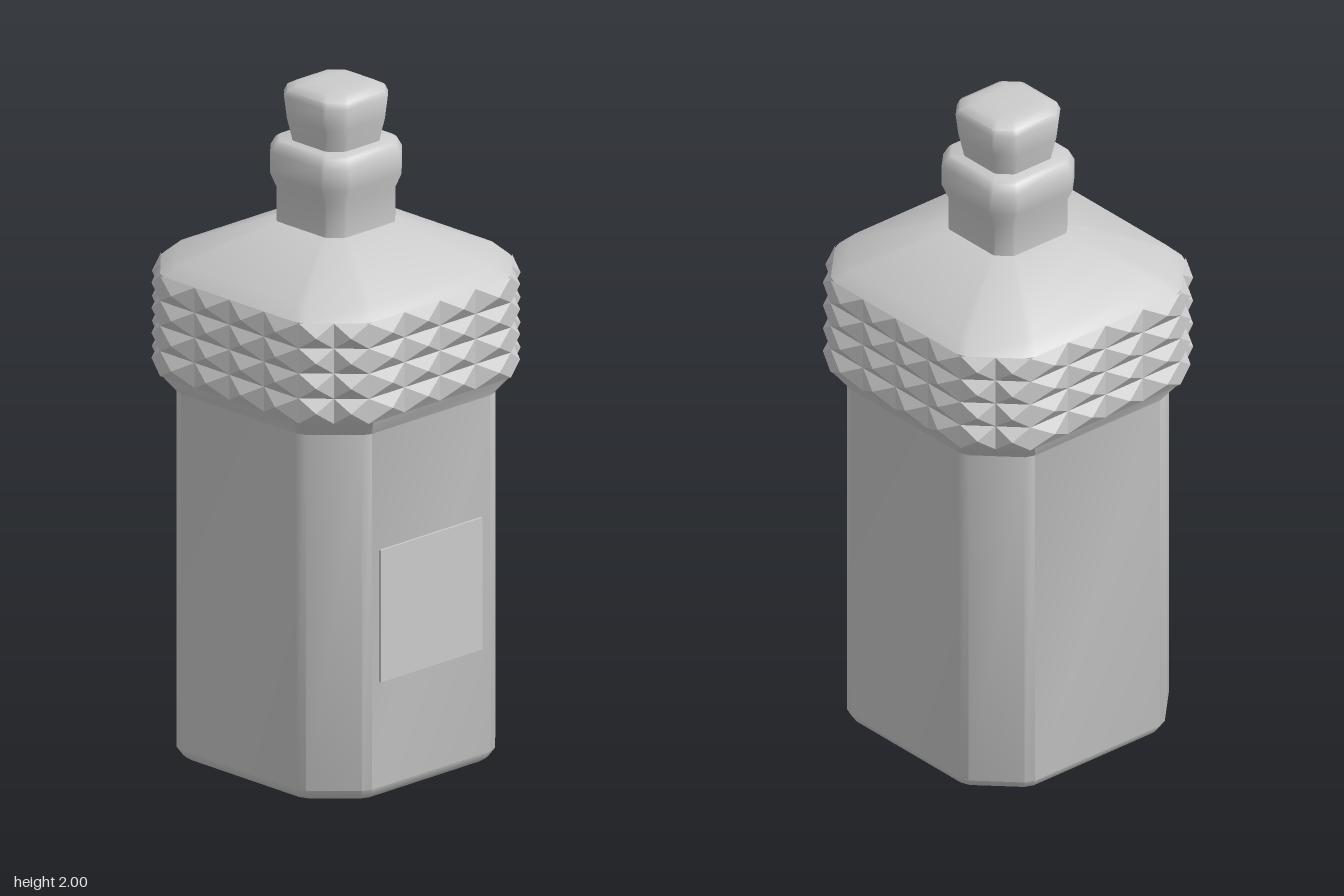
import * as THREE from 'three';
import { toCreasedNormals } from 'three/addons/utils/BufferGeometryUtils.js';

const material = new THREE.MeshStandardMaterial({ color: 0xcccccc });

// Square outline with cut corners, counted from +x towards +z.
function octagon(half, cut) {
  const f = half - cut, pts = [];
  let p = [[half, -f], [half, f]];
  for (let k = 0; k < 4; k++) {
    pts.push(...p);
    p = p.map(([x, z]) => [-z, x]);
  }
  return pts;
}

// The same outline with every corner slightly bevelled.
function softOctagon(half, cut) {
  const pts = octagon(half, cut), bevel = cut * 0.12, out = [];
  pts.forEach((p, i) => {
    for (const q of [pts[(i + 7) % 8], pts[(i + 1) % 8]]) {
      const d = Math.hypot(q[0] - p[0], q[1] - p[1]);
      out.push([p[0] + (q[0] - p[0]) * bevel / d, p[1] + (q[1] - p[1]) * bevel / d]);
    }
  });
  return out;
}

function triangles(pos) {
  const g = new THREE.BufferGeometry();
  g.setAttribute('position', new THREE.Float32BufferAttribute(pos, 3));
  return g;
}

// Closed skin over rows of [y, half width, corner cut].
function loft(name, rows, crease = 0.7) {
  const rings = rows.map(([y, h, c]) => softOctagon(h, c).map(([x, z]) => [x, y, z]));
  const pos = [], n = rings[0].length;
  const tri = (a, b, c) => pos.push(...a, ...b, ...c);
  for (let r = 0; r < rings.length - 1; r++) {
    for (let i = 0; i < n; i++) {
      const j = (i + 1) % n, lo = rings[r], hi = rings[r + 1];
      tri(lo[i], hi[i], lo[j]);
      tri(lo[j], hi[i], hi[j]);
    }
  }
  const top = rings[rings.length - 1], bottom = rings[0];
  for (let i = 0; i < n; i++) {
    const j = (i + 1) % n;
    tri([0, top[0][1], 0], top[j], top[i]);
    tri([0, bottom[0][1], 0], bottom[i], bottom[j]);
  }
  const mesh = new THREE.Mesh(toCreasedNormals(triangles(pos), crease), material);
  mesh.name = name;
  return mesh;
}

// Belt of pyramids: four per wide side and two per cut corner, in four rows.
function studBelt(half, cut, y0, y1, rows, height) {
  const pts = octagon(half, cut), pos = [], step = (y1 - y0) / rows;
  pts.forEach((p, s) => {
    const q = pts[(s + 1) % 8], count = s % 2 ? 2 : 4;
    const len = Math.hypot(q[0] - p[0], q[1] - p[1]);
    const nx = (q[1] - p[1]) / len, nz = -(q[0] - p[0]) / len;
    const at = (t, y, out = 0) => [
      p[0] + (q[0] - p[0]) * t + nx * out, y, p[1] + (q[1] - p[1]) * t + nz * out];
    for (let r = 0; r < rows; r++) {
      for (let i = 0; i < count; i++) {
        const a = i / count, b = (i + 1) / count, y = y0 + r * step;
        const tip = at((a + b) / 2, y + step / 2, height);
        const base = [at(a, y), at(a, y + step), at(b, y + step), at(b, y)];
        base.forEach((v, k) => pos.push(...v, ...base[(k + 1) % 4], ...tip));
      }
    }
  });
  const g = triangles(pos);
  g.computeVertexNormals();
  const mesh = new THREE.Mesh(g, material);
  mesh.name = 'studBelt';
  return mesh;
}

export function createModel() {
  const bottle = new THREE.Group();
  bottle.name = 'bottle';

  // Body with foot bevel, belt core and sloping shoulder
  bottle.add(loft('body', [
    [0, 0.355, 0.125], [0.01, 0.37, 0.13], [0.035, 0.385, 0.135],
    [1.1, 0.385, 0.135], [1.15, 0.42, 0.14], [1.45, 0.42, 0.14],
    [1.485, 0.385, 0.135], [1.59, 0.14, 0.04],
  ]));
  bottle.add(studBelt(0.42, 0.14, 1.15, 1.45, 4, 0.025));

  // Neck with a thicker lip
  bottle.add(loft('neck', [
    [1.57, 0.138, 0.04], [1.69, 0.138, 0.04], [1.735, 0.157, 0.052],
    [1.8, 0.157, 0.052], [1.825, 0.145, 0.048], [1.832, 0.135, 0.044],
  ]));

  // Flared stopper
  bottle.add(loft('stopper', [
    [1.81, 0.103, 0.038], [1.84, 0.108, 0.04], [1.9, 0.12, 0.044],
    [1.965, 0.127, 0.047], [1.982, 0.12, 0.045], [1.996, 0.095, 0.036], [2, 0.06, 0.022],
  ]));

  // Thin label plate on the front
  const label = new THREE.Mesh(new THREE.BoxGeometry(0.4, 0.395, 0.02), material);
  label.name = 'label';
  label.position.set(-0.005, 0.548, 0.382);
  bottle.add(label);

  return bottle;
}
